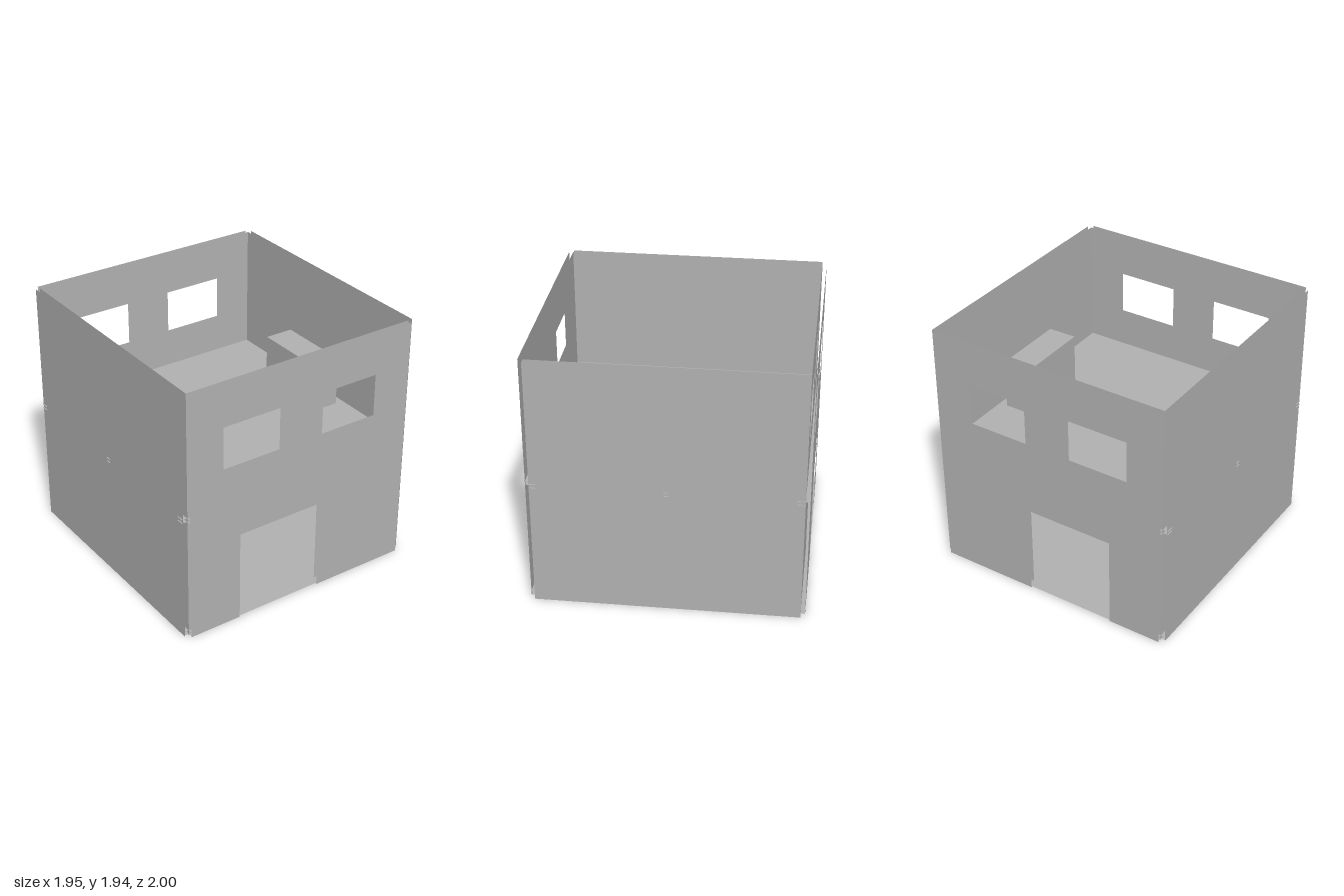
import * as THREE from 'three';

const board = new THREE.MeshStandardMaterial({ color: 0xb2b2b2, side: THREE.DoubleSide });
board.name = 'grey board';

const H = 1.94;                 // wall height
const XI = 0.935, XO = 0.968;   // inner and outer skins of the side walls
const ZI = 0.968, ZO = 1.0;     // inner and outer skins of the front and back walls

const shapeOf = (pts) => new THREE.Shape(pts.map(([x, y]) => new THREE.Vector2(x, y)));
const rect = (x0, x1, y0, y1) => [[x0, y0], [x1, y0], [x1, y1], [x0, y1]];

function sheet(shape, name) {
  const mesh = new THREE.Mesh(new THREE.ShapeGeometry(shape), board);
  mesh.name = name;
  return mesh;
}

// Wall with a doorway and two windows
function doorWallShape() {
  const s = shapeOf([[-XI, 0], [-0.52, 0], [-0.52, 0.71], [0.172, 0.71], [0.172, 0], [XI, 0], [XI, H], [-XI, H]]);
  s.holes.push(shapeOf(rect(-0.663, -0.173, 1.265, 1.613)), shapeOf(rect(0.17, 0.66, 1.265, 1.613)));
  return s;
}

// Floor outline with notched corners; optional small tabs poke out of the side walls
function floorShape(tabs) {
  const half = [[XI, -ZO], [XI, -ZI]];
  if (tabs) {
    for (const [a, b] of [[-0.965, -0.91], [-0.02, 0.02], [0.91, 0.965]]) {
      half.push([XO, a], [0.977, a], [0.977, b], [XO, b]);
    }
  } else {
    half.push([XO, -ZI], [XO, ZI]);
  }
  half.push([XI, ZI], [XI, ZO]);
  return shapeOf([...half, ...half.map(([x, z]) => [-x, -z])]);
}

export function createModel() {
  const model = new THREE.Group();
  model.name = 'roomBox';

  // Walls, each an open-edged pair of skins
  for (const s of [1, -1]) {
    const doorWall = new THREE.Group();
    doorWall.name = s > 0 ? 'frontWall' : 'backWall';
    const sideWall = new THREE.Group();
    sideWall.name = s > 0 ? 'leftWall' : 'rightWall';
    for (const [skin, z, x] of [['inner', ZI, XI], ['outer', ZO, XO]]) {
      const d = sheet(doorWallShape(), skin + 'Skin');
      d.position.z = s * z;
      doorWall.add(d);
      const w = sheet(shapeOf(rect(-ZI, ZI, 0, H)), skin + 'Skin');
      w.rotation.y = Math.PI / 2;
      w.position.x = s * x;
      sideWall.add(w);
    }
    model.add(doorWall, sideWall);
  }

  // Ground floor and upper floor; the upper one has a stair opening
  for (const [name, heights, upper] of [['groundFloor', [0.012, 0.04], false], ['upperFloor', [0.955, 0.983], true]]) {
    const floor = new THREE.Group();
    floor.name = name;
    for (const y of heights) {
      const shape = floorShape(upper);
      // shape y runs towards -z once laid flat
      if (upper) shape.holes.push(shapeOf(rect(-0.815, -0.37, -0.84, -0.4)));
      const f = sheet(shape, 'floorSkin');
      f.rotation.x = -Math.PI / 2;
      f.position.y = y;
      floor.add(f);
    }
    model.add(floor);
  }

  // Low block standing on the upper floor
  const block = new THREE.Mesh(new THREE.BoxGeometry(0.225, 0.385, 0.59), board);
  block.name = 'block';
  block.position.set(0.758, 0.983 + 0.1925, -0.003);
  model.add(block);

  return model;
}
